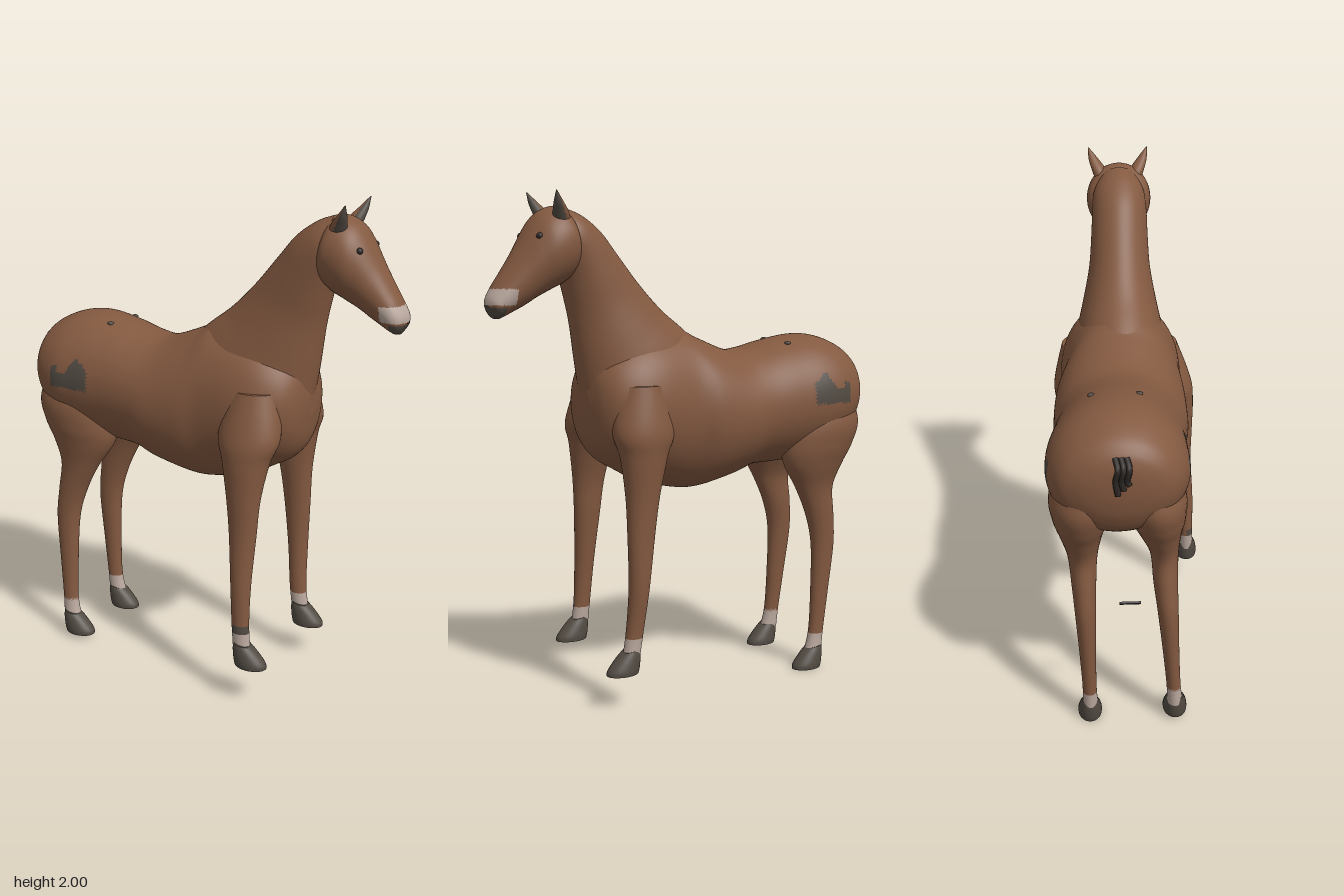
import * as THREE from 'three';

const mat = (name, color) => Object.assign(new THREE.MeshStandardMaterial({ color }), { name });
const coat = mat('coat brown', 0x835940);
const white = mat('sock white', 0xb9a79d);
const hoofGrey = mat('hoof grey', 0x514a42);
const dark = mat('dark hair', 0x2c2724);
const palette = [coat, white, hoofGrey, dark];
const COAT = 0, WHITE = 1, GREY = 2, DARK = 3;

const spline = (a, b, c, d, t) =>
  0.5 * (2 * b + (c - a) * t + (2 * a - 5 * b + 4 * c - d) * t * t + (3 * b - a - 3 * c + d) * t * t * t);

// Skin over oval sections. Row: [ax, ay, bx, by, zCentre, halfWidth], where a and b
// are opposite rim points in the side plane. colourOf(x, y, z) picks a palette index.
function loft(name, rows, { steps = 6, seg = 40, colourOf = () => COAT } = {}) {
  const sections = [];
  const last = rows.length - 1;
  const row = (i) => rows[Math.min(last, Math.max(0, i))];
  for (let i = 0; i < last; i++)
    for (let s = 0; s < steps; s++)
      sections.push(row(i).map((v, k) =>
        spline(row(i - 1)[k], v, row(i + 1)[k], row(i + 2)[k], s / steps)));
  sections.push(rows[last]);

  const pos = [];
  const addRing = ([ax, ay, bx, by, z, w]) => {
    const start = pos.length / 3;
    for (let j = 0; j < seg; j++) {
      const t = (j / seg) * Math.PI * 2, c = Math.cos(t) / 2;
      pos.push((ax + bx) / 2 + c * (ax - bx), (ay + by) / 2 + c * (ay - by), z + Math.sin(t) * w);
    }
    return start;
  };
  const tris = palette.map(() => []);
  const addTri = (...ids) => {
    const mid = [0, 1, 2].map((k) => ids.reduce((sum, id) => sum + pos[id * 3 + k], 0) / 3);
    tris[colourOf(...mid)].push(...ids);
  };
  const starts = sections.map(addRing);
  for (let i = 0; i < starts.length - 1; i++)
    for (let j = 0; j < seg; j++) {
      const k = (j + 1) % seg, p = starts[i], q = starts[i + 1];
      addTri(p + j, p + k, q + j);
      addTri(p + k, q + k, q + j);
    }
  // Flat end caps
  [sections[0], sections[sections.length - 1]].forEach((s, end) => {
    const r = addRing(s), c = pos.length / 3;
    pos.push((s[0] + s[2]) / 2, (s[1] + s[3]) / 2, s[4]);
    for (let j = 0; j < seg; j++) {
      const k = (j + 1) % seg;
      if (end) addTri(c, r + j, r + k);
      else addTri(c, r + k, r + j);
    }
  });

  const geo = new THREE.BufferGeometry();
  geo.setAttribute('position', new THREE.Float32BufferAttribute(pos, 3));
  geo.setIndex(tris.flat());
  let offset = 0;
  tris.forEach((list, m) => {
    if (list.length) geo.addGroup(offset, list.length, m);
    offset += list.length;
  });
  geo.computeVertexNormals();
  const mesh = new THREE.Mesh(geo, palette);
  mesh.name = name;
  return mesh;
}

// Grey flank patch with a notched upper edge
function flankPatch(x, y) {
  if (x < -0.66 || x > -0.48 || y < 1.16) return COAT;
  const top = x < -0.625 ? 1.245 : x < -0.585 ? 1.22 : x < -0.54 ? 1.22 + (x + 0.585) * 1.55
    : 1.29 - (x + 0.54) * 0.8;
  return y < top ? GREY : COAT;
}

// Leg rows: [y, frontX, backX, zCentre, halfWidth]
const legRows = (rows, dx, dy) => rows.map(([y, f, b, z, w], i) => {
  const k = i / (rows.length - 1);
  return [f + dx * k, y + dy * k, b + dx * k, y + dy * k, z, w];
});

// Hoof with a sloping toe and a flat sole
const hoof = (name, x, y, z) => loft(name, [
  [x + 0.037, y + 0.085, x - 0.037, y + 0.1, z, 0.033],
  [x + 0.065, y + 0.06, x - 0.04, y + 0.07, z, 0.041],
  [x + 0.1, y + 0.02, x - 0.036, y + 0.025, z, 0.048],
  [x + 0.105, y, x - 0.03, y, z, 0.047],
], { colourOf: () => GREY, seg: 28, steps: 4 });

export function createModel() {
  const group = new THREE.Group();
  group.name = 'horse';

  // Torso: [x, top, bottom, zCentre, halfWidth]
  const torso = [
    [-0.812, 1.26, 1.2, -0.06, 0.03], [-0.805, 1.3, 1.14, -0.06, 0.1],
    [-0.785, 1.345, 1.07, -0.06, 0.165], [-0.74, 1.388, 1.0, -0.065, 0.222],
    [-0.65, 1.425, 0.94, -0.065, 0.26], [-0.55, 1.435, 0.91, -0.065, 0.265],
    [-0.42, 1.415, 0.9, -0.055, 0.257], [-0.3, 1.387, 0.893, -0.042, 0.256],
    [-0.2, 1.383, 0.86, -0.035, 0.265], [-0.05, 1.44, 0.826, -0.03, 0.262],
    [0.05, 1.485, 0.83, -0.02, 0.242], [0.2, 1.48, 0.87, -0.02, 0.245],
    [0.3, 1.45, 0.92, -0.02, 0.23], [0.38, 1.4, 0.97, -0.02, 0.19],
    [0.425, 1.34, 1.04, -0.02, 0.13], [0.443, 1.25, 1.15, -0.02, 0.05],
  ].map(([x, t, b, z, w]) => [x, t, x, b, z, w]);
  group.add(loft('torso', torso, { steps: 10, seg: 112, colourOf: flankPatch }));

  group.add(loft('neck', [
    [-0.1, 1.39, 0.41, 1.06, -0.02, 0.2], [0, 1.475, 0.445, 1.24, -0.02, 0.175],
    [0.1, 1.553, 0.465, 1.36, -0.018, 0.15], [0.2, 1.655, 0.485, 1.5, -0.015, 0.125],
    [0.3, 1.775, 0.505, 1.6, -0.012, 0.116], [0.37, 1.857, 0.525, 1.68, -0.01, 0.112],
    [0.45, 1.915, 0.55, 1.75, -0.01, 0.105], [0.52, 1.942, 0.58, 1.8, -0.008, 0.08],
  ], { seg: 56 }));

  // Head with pale muzzle and grey chin
  group.add(loft('head', [
    [0.495, 1.91, 0.475, 1.81, -0.008, 0.05], [0.53, 1.937, 0.48, 1.715, -0.008, 0.115],
    [0.57, 1.945, 0.52, 1.665, -0.008, 0.131], [0.62, 1.922, 0.58, 1.635, -0.006, 0.13],
    [0.66, 1.878, 0.64, 1.605, -0.004, 0.112], [0.715, 1.785, 0.69, 1.575, 0, 0.091],
    [0.765, 1.707, 0.735, 1.552, 0.006, 0.078], [0.8, 1.655, 0.765, 1.537, 0.01, 0.07],
    [0.826, 1.61, 0.788, 1.528, 0.01, 0.056], [0.832, 1.58, 0.803, 1.53, 0.01, 0.03],
  ], {
    seg: 72, steps: 8,
    colourOf: (x, y) => (x > 0.74 && y > 1.58 && y < 1.64 ? WHITE : x > 0.775 && y < 1.572 ? GREY : COAT),
  }));

  // Ears with dark fronts, and eyes
  for (const [side, s] of [['left', 1], ['right', -1]]) {
    const z = (d) => s * d - 0.01;
    group.add(loft(side + 'Ear', [
      [0.515, 1.87, 0.585, 1.87, z(0.06), 0.03], [0.535, 1.92, 0.598, 1.915, z(0.078), 0.03],
      [0.57, 1.96, 0.606, 1.955, z(0.1), 0.02], [0.605, 2, 0.608, 2, z(0.12), 0.002],
    ], { seg: 20, colourOf: (x, y) => (x > 0.5645 + (y - 1.92) * 0.5 ? GREY : COAT) }));
    const eye = new THREE.Mesh(new THREE.SphereGeometry(0.014, 16, 12), dark);
    eye.position.set(0.652, 1.833, s * 0.078 - 0.004);
    eye.name = side + 'Eye';
    group.add(eye);
  }

  // Front legs
  const frontX = [[1.27, 0.37, 0.17], [1.1, 0.4, 0.145], [1.0, 0.37, 0.175], [0.85, 0.345, 0.205],
    [0.7, 0.335, 0.222], [0.5, 0.325, 0.24], [0.33, 0.325, 0.252], [0.22, 0.335, 0.262]];
  const frontLeft = [[0.13, 0.09], [0.187, 0.095], [0.215, 0.08], [0.238, 0.056],
    [0.248, 0.045], [0.268, 0.038], [0.28, 0.03], [0.285, 0.03]];
  const frontRight = [[-0.15, 0.11], [-0.195, 0.1], [-0.208, 0.08], [-0.21, 0.06],
    [-0.212, 0.047], [-0.21, 0.04], [-0.195, 0.032], [-0.19, 0.03]];
  // Hind legs
  const hindX = [[1.22, -0.46, -0.75], [1.08, -0.43, -0.783], [0.98, -0.41, -0.755], [0.9, -0.425, -0.71],
    [0.8, -0.49, -0.67], [0.68, -0.55, -0.683], [0.55, -0.585, -0.693], [0.35, -0.592, -0.675],
    [0.18, -0.59, -0.658], [0.09, -0.572, -0.652]];
  const hindLeft = [[0.03, 0.1], [0.065, 0.12], [0.08, 0.11], [0.093, 0.085],
    [0.11, 0.055], [0.115, 0.047], [0.125, 0.04], [0.14, 0.032], [0.153, 0.028], [0.16, 0.032]];
  const hindRight = [[-0.17, 0.1], [-0.2, 0.12], [-0.205, 0.108], [-0.205, 0.085],
    [-0.2, 0.058], [-0.197, 0.047], [-0.193, 0.04], [-0.187, 0.032], [-0.182, 0.028], [-0.18, 0.032]];

  // name, side shape, width shape, forward and vertical shift at the foot, sock top, foot position
  const legs = [
    ['frontLeft', frontX, frontLeft, 0, 0, 0.3, [0.302, 0.157, 0.286]],
    ['frontRight', frontX, frontRight, 0.035, -0.018, 0.28, [0.335, 0.139, -0.188]],
    ['hindLeft', hindX, hindLeft, 0, 0, 0.17, [-0.61, 0.02, 0.163]],
    ['hindRight', hindX, hindRight, 0.018, -0.018, 0.15, [-0.595, 0, -0.181]],
  ];
  for (const [name, xs, zs, dx, dy, sockTop, foot] of legs) {
    const rows = legRows(xs.map((r, i) => [...r, ...zs[i]]), dx, dy);
    const colourOf = (x, y, z) => (y < sockTop ? WHITE
      : name === 'frontLeft' && y < 0.335 && z > 0.28 ? GREY : COAT);
    group.add(loft(name + 'Leg', rows, { steps: 8, colourOf }), hoof(name + 'Hoof', ...foot));
  }

  // Docked tail: a small dark tuft of strands
  for (let i = 0; i < 3; i++) {
    const z = -0.082 + i * 0.02;
    const path = new THREE.CatmullRomCurve3([[-0.79, 1.33], [-0.822, 1.3], [-0.815, 1.25], [-0.815, 1.195 + i * 0.02]]
      .map(([x, y], k) => new THREE.Vector3(x, y, z + (k % 2) * 0.008)));
    const strand = new THREE.Mesh(new THREE.TubeGeometry(path, 12, 0.011, 8), dark);
    strand.name = 'tailStrand';
    group.add(strand);
  }
  // Loose tail wisp between the hind legs
  const wisp = new THREE.Mesh(new THREE.BoxGeometry(0.022, 0.008, 0.08), dark);
  wisp.position.set(-0.708, 0.65, -0.025);
  wisp.rotation.z = -0.8;
  wisp.name = 'tailWisp';
  group.add(wisp);

  // Two small spots on the croup
  for (const [x, y, z] of [[-0.455, 1.402, -0.155], [-0.465, 1.41, 0.02]]) {
    const spot = new THREE.Mesh(new THREE.SphereGeometry(0.014, 14, 8), hoofGrey);
    spot.scale.y = 0.6;
    spot.position.set(x, y, z);
    spot.name = 'croupSpot';
    group.add(spot);
  }
  return group;
}
